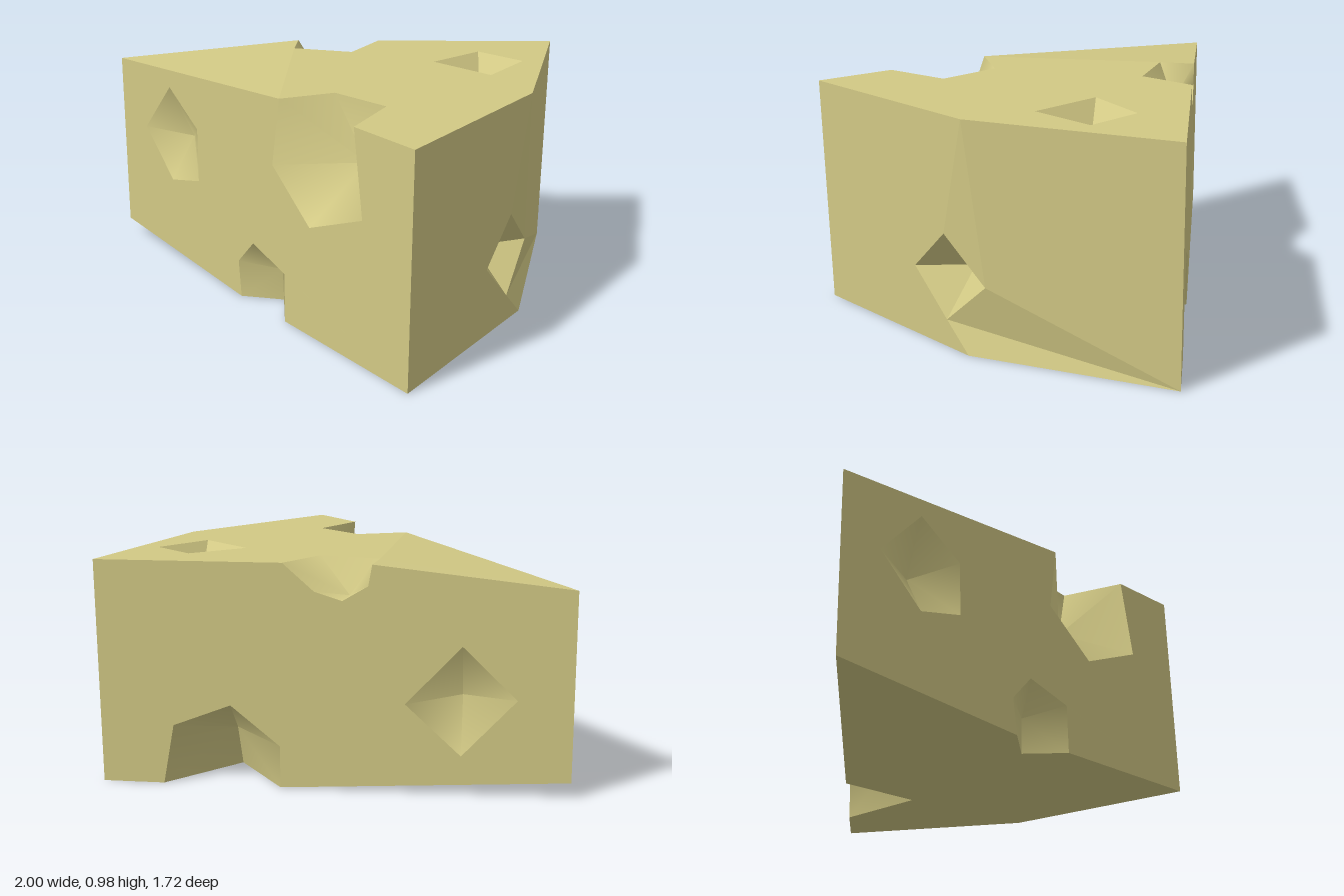
import * as THREE from 'three';
import { toCreasedNormals } from 'three/addons/utils/BufferGeometryUtils.js';

const V = (x, y, z) => new THREE.Vector3(x, y, z);
// points on the slanted sides, the horizontal planes and the two rear facets
const front = (x, y) => V(x, y, 0.47 * (x + 1));
const back = (x, y) => V(x, y, -0.47 * (x + 1));
const top = (x, z) => V(x, 0.98, z);
const base = (x, z) => V(x, 0, z);
const end = (z, y) => V(1 - 0.198 * Math.abs(z), y, z);

// triangles turned so that each one faces the wanted way
function trianglesToGeometry(triangles, toward) {
  const points = [];
  for (const [a, b, c] of triangles) {
    const n = b.clone().sub(a).cross(c.clone().sub(a));
    points.push(...(n.dot(toward(a)) > 0 ? [a, b, c] : [a, c, b]));
  }
  return new THREE.BufferGeometry().setFromPoints(points);
}

export function createModel() {
  const group = new THREE.Group();
  const cheese = new THREE.MeshStandardMaterial({ color: 0xd2c985 });
  cheese.name = 'paleYellow';

  const add = (name, geometry) => {
    const mesh = new THREE.Mesh(geometry, cheese);
    mesh.name = name;
    group.add(mesh);
  };

  // outer face: outline with openings, triangulated in two of its axes
  const face = (name, outline, holes, axes, outward) => {
    const flat = (p) => new THREE.Vector2(p[axes[0]], p[axes[1]]);
    const ring = (pts, clockwise) =>
      THREE.ShapeUtils.isClockWise(pts.map(flat)) === clockwise ? pts : [...pts].reverse();
    const outer = ring(outline, false);
    const inner = holes.map((h) => ring(h, true));
    const all = [...outer, ...inner.flat()];
    const tris = THREE.ShapeUtils.triangulateShape(outer.map(flat), inner.map((h) => h.map(flat)))
      .map((t) => t.map((i) => all[i]));
    const geometry = trianglesToGeometry(tris, () => outward);
    geometry.computeVertexNormals();
    add(name, geometry);
  };

  // hollow: facets running from the rim to its deepest point
  const cavity = (name, rim, apex) => {
    const middle = rim.reduce((s, p) => s.add(p), V(0, 0, 0)).divideScalar(rim.length);
    const tris = rim.map((p, i) => [p, rim[(i + 1) % rim.length], apex]);
    const geometry = trianglesToGeometry(tris, (a) => middle.clone().sub(a));
    add(name, toCreasedNormals(geometry, 1.0));
  };

  // wedge corners
  const tipTop = V(-1, 0.89, 0), tipBase = V(-1, 0.07, 0);
  const frontTop = top(0.83, 0.86), frontBase = base(0.83, 0.86);
  const backTop = top(0.83, -0.86), backBase = base(0.83, -0.86);
  const endTop = top(1, 0), endBase = base(1, 0);

  // rims of the holes inside single faces
  const frontHole = [front(-0.82, 0.6), front(-0.625, 0.84), front(-0.43, 0.695), front(-0.43, 0.45), front(-0.625, 0.395)];
  const backHole = [back(-0.365, 0.39), back(-0.58, 0.645), back(-0.79, 0.42), back(-0.58, 0.17)];
  const topHole = [top(0.588, -0.53), top(0.818, -0.46), top(0.765, -0.18), top(0.47, -0.275)];
  const [endUp, endFront, endDown, endBack] = [end(0.12, 0.49), end(0.3, 0.305), end(0.12, 0.12), end(-0.08, 0.305)];

  // rims of the notches across the long edges: side part, then inner part on top or base
  const frontTopSide = [front(0.115, 0.98), front(0.07, 0.685), front(0.29, 0.485), front(0.58, 0.62), front(0.53, 0.98)];
  const frontTopInner = [top(0.54, 0.43), top(0.28, 0.35)];
  const frontBaseSide = [front(-0.145, 0), front(-0.16, 0.165), front(-0.06, 0.285), front(0.14, 0.22), front(0.14, 0)];
  const frontBaseInner = [base(0.07, 0.345)];
  const backTopSide = [back(-0.24, 0.98), back(-0.225, 0.89), back(-0.127, 0.825), back(-0.02, 0.862), back(0.1, 0.98)];
  const backTopInner = [top(0.075, -0.27), top(-0.19, -0.214)];
  const backBaseSide = [back(0.586, 0), back(0.54, 0.263), back(0.312, 0.36), back(0.12, 0.185), back(0.12, 0)];
  const backBaseInner = [base(0.46, -0.346)];

  // sides
  face('frontSide', [tipBase, ...frontBaseSide, frontBase, frontTop, ...[...frontTopSide].reverse(), tipTop],
    [frontHole], ['x', 'y'], V(-0.43, 0, 0.9));
  face('backSide', [tipTop, ...backTopSide, backTop, backBase, ...backBaseSide, tipBase],
    [backHole], ['x', 'y'], V(-0.43, 0, -0.9));

  // rind end, two facets sharing one hole
  face('endFront', [frontTop, endTop, endUp, endFront, endDown, endBase, frontBase], [], ['z', 'y'], V(1, 0, 0.2));
  face('endBack', [backTop, endTop, endUp, endBack, endDown, endBase, backBase], [], ['z', 'y'], V(1, 0, -0.2));

  // top and base, each with a sloping part toward the tip
  const up = V(0, 1, 0), down = V(0, -1, 0);
  face('top', [frontTopSide[0], frontTopInner[1], frontTopInner[0], frontTopSide[4], frontTop, endTop, backTop,
    backTopSide[4], ...backTopInner], [topHole], ['x', 'z'], up);
  face('topTip', [tipTop, frontTopSide[0], backTopInner[1], backTopSide[0]], [], ['x', 'z'], up);
  face('base', [frontBaseSide[0], ...frontBaseInner, frontBaseSide[4], frontBase, endBase, backBase,
    backBaseSide[0], ...backBaseInner, backBaseSide[4]], [], ['x', 'z'], down);
  face('baseTip', [tipBase, frontBaseSide[0], backBaseSide[4]], [], ['x', 'z'], down);

  // hollows
  cavity('frontHole', frontHole, V(-0.56, 0.59, 0.08));
  cavity('backHole', backHole, V(-0.53, 0.41, -0.09));
  cavity('topHole', topHole, V(0.66, 0.81, -0.36));
  cavity('endHole', [endUp, endFront, endDown, endBack], V(0.81, 0.305, 0.09));
  cavity('frontTopNotch', [...frontTopSide, ...frontTopInner], V(0.455, 0.73, 0.42));
  cavity('frontBaseNotch', [...frontBaseSide, ...frontBaseInner], V(0.04, 0.15, 0.36));
  cavity('backTopNotch', [...backTopSide, ...backTopInner], V(-0.11, 0.834, -0.325));
  cavity('backBaseNotch', [...backBaseSide, ...backBaseInner], V(0.42, 0.2, -0.43));

  return group;
}
